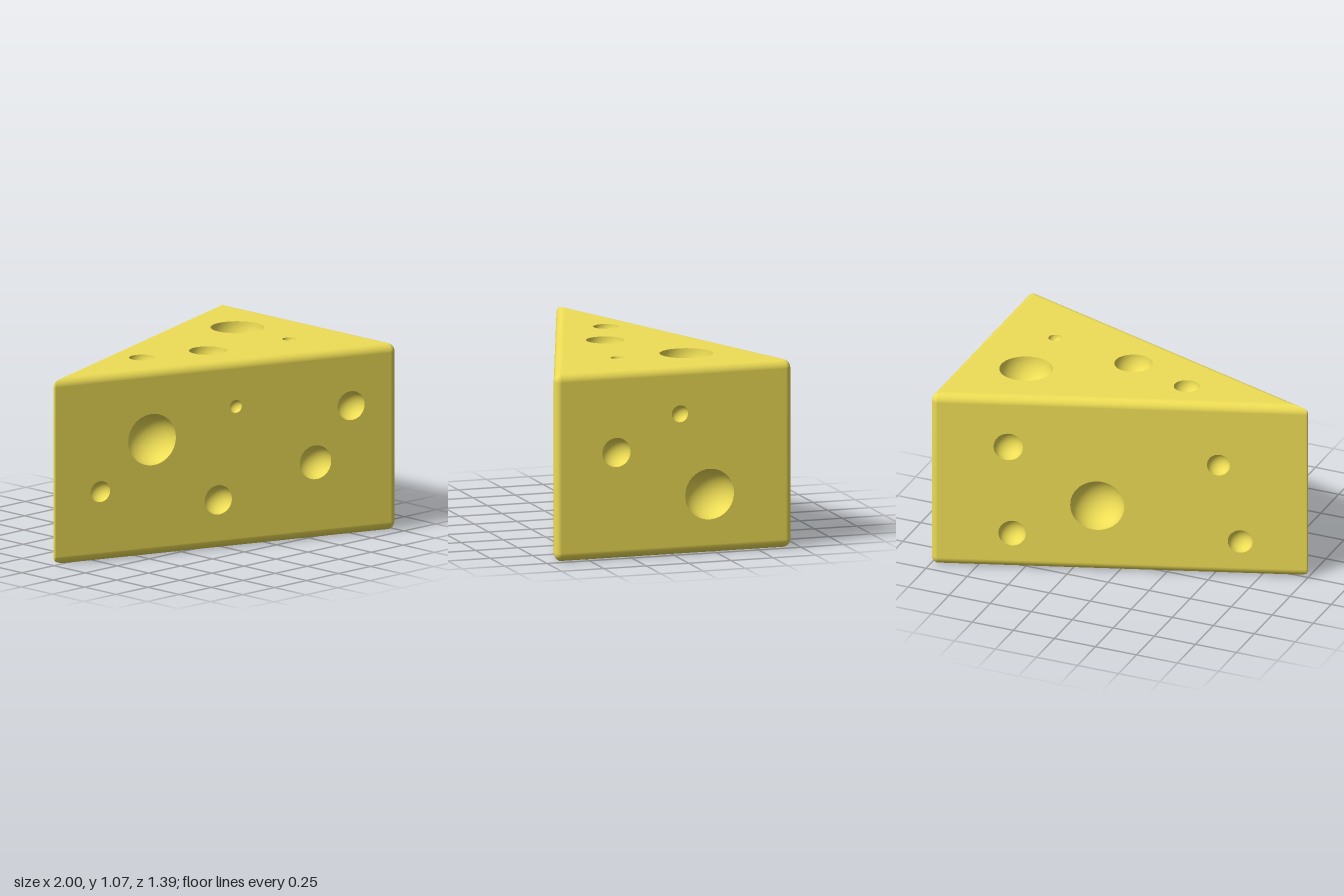
import * as THREE from 'three';

const H = 1.07;                       // height of the wedge
const BEVEL = 0.05;                   // rounding along top and bottom edges
const TIP_X = -1.02;                  // where the slanted sides would meet
const SLOPE = Math.atan(0.352);       // angle of each slanted side
const STEPS = 8;                      // segments per rounded edge

const material = new THREE.MeshStandardMaterial({ color: 0xeedd55 });

// Directions of the side normals, as angles from +x towards +z
const RIGHT = 0, FRONT = Math.PI / 2 + SLOPE, BACK = 1.5 * Math.PI - SLOPE;
const halfWidth = (x) => (x - TIP_X) * Math.tan(SLOPE);

// Upright edges: sharp corner, radius, normals of the sides it joins
const corners = [
  { x: 1, z: halfWidth(1), r: 0.035, from: RIGHT, to: FRONT },
  { x: TIP_X, z: 0, r: 0.01, from: FRONT, to: BACK },
  { x: 1, z: -halfWidth(1), r: 0.035, from: BACK, to: 2 * Math.PI },
];

// Point on a rounded corner, with the outline shrunk by inset
function cornerPoint(c, angle, inset, y) {
  const mid = (c.from + c.to) / 2;
  const shift = Math.max(c.r, inset) / Math.cos((c.to - c.from) / 2);
  const r = Math.max(c.r - inset, 0);
  return new THREE.Vector3(
    c.x - shift * Math.cos(mid) + r * Math.cos(angle), y,
    c.z - shift * Math.sin(mid) + r * Math.sin(angle));
}

// All rounded edges in one skin, leaving the flat faces open
function roundedEdges() {
  const positions = [], normals = [], indices = [];
  const rows = 2 * (STEPS + 1), columns = 3 * (STEPS + 1);
  for (let j = 0; j < rows; j++) {
    const upper = j > STEPS;
    const tilt = ((upper ? j - STEPS - 1 : j - STEPS) / STEPS) * Math.PI / 2;
    const y = (upper ? H - BEVEL : BEVEL) + BEVEL * Math.sin(tilt);
    for (const c of corners) {
      for (let i = 0; i <= STEPS; i++) {
        const angle = THREE.MathUtils.lerp(c.from, c.to, i / STEPS);
        positions.push(...cornerPoint(c, angle, BEVEL * (1 - Math.cos(tilt)), y));
        normals.push(Math.cos(tilt) * Math.cos(angle), Math.sin(tilt), Math.cos(tilt) * Math.sin(angle));
      }
    }
  }
  for (let j = 0; j < rows - 1; j++) {
    for (let i = 0; i < columns; i++) {
      if (j === STEPS && i % (STEPS + 1) === STEPS) continue; // flat side
      const a = j * columns + i, b = j * columns + (i + 1) % columns;
      indices.push(a, a + columns, b, b, a + columns, b + columns);
    }
  }
  const geometry = new THREE.BufferGeometry();
  geometry.setAttribute('position', new THREE.Float32BufferAttribute(positions, 3));
  geometry.setAttribute('normal', new THREE.Float32BufferAttribute(normals, 3));
  geometry.setIndex(indices);
  return geometry;
}

// Flat face with round openings, each backed by a half-sphere hollow
function face(name, outline, normal, up, holes) {
  const group = new THREE.Group();
  group.name = name;
  const side = new THREE.Vector3().crossVectors(up, normal);
  const flat = (p) => new THREE.Vector2(p.dot(side), p.dot(up));
  const shape = new THREE.Shape(outline.map(flat));
  for (const [x, y, z, r] of holes) {
    const centre = flat(new THREE.Vector3(x, y, z));
    shape.holes.push(new THREE.Path().absarc(centre.x, centre.y, r, 0, 2 * Math.PI, true));
    const profile = [];
    for (let i = 0; i <= 14; i++) {
      const t = (i / 14) * Math.PI / 2;
      profile.push(new THREE.Vector2(i === 14 ? 0 : r * Math.cos(t), -r * Math.sin(t)));
    }
    const hollow = new THREE.Mesh(new THREE.LatheGeometry(profile, 48).rotateX(Math.PI / 2), material);
    hollow.name = 'hole';
    hollow.position.set(centre.x, centre.y, 0);
    group.add(hollow);
  }
  const panel = new THREE.Mesh(new THREE.ShapeGeometry(shape, 24), material);
  panel.name = name + 'Surface';
  group.add(panel);
  group.quaternion.setFromRotationMatrix(new THREE.Matrix4().makeBasis(side, up, normal));
  group.position.copy(normal).multiplyScalar(normal.dot(outline[0]));
  return group;
}

export function createModel() {
  const model = new THREE.Group();
  model.name = 'cheeseWedge';

  const edges = new THREE.Mesh(roundedEdges(), material);
  edges.name = 'roundedEdges';
  model.add(edges);

  // Upright faces, each spanning from one corner to the next
  const Y = new THREE.Vector3(0, 1, 0);
  const onSlant = (sign) => ([x, y, r]) => [x, y, sign * halfWidth(x), r];
  const sides = [
    ['frontFace', 0, FRONT, [
      [-0.435, 0.665, 0.147], [-0.735, 0.398, 0.06], [-0.05, 0.28, 0.084],
      [0.052, 0.805, 0.037], [0.515, 0.437, 0.097], [0.722, 0.74, 0.083],
    ].map(onSlant(1))],
    ['backFace', 1, BACK, [
      [0.58, 0.76, 0.083], [0.56, 0.22, 0.077], [0.11, 0.41, 0.152],
      [-0.53, 0.69, 0.065], [-0.645, 0.215, 0.07],
    ].map(onSlant(-1))],
    ['rightFace', 2, RIGHT, [
      [1, 0.605, 0.34, 0.083], [1, 0.802, -0.035, 0.048], [1, 0.335, -0.21, 0.144],
    ]],
  ];
  for (const [name, i, angle, holes] of sides) {
    const a = corners[i], b = corners[(i + 1) % 3];
    const outline = [
      cornerPoint(a, a.to, 0, BEVEL), cornerPoint(b, b.from, 0, BEVEL),
      cornerPoint(b, b.from, 0, H - BEVEL), cornerPoint(a, a.to, 0, H - BEVEL),
    ];
    const normal = new THREE.Vector3(Math.cos(angle), 0, Math.sin(angle));
    model.add(face(name, outline, normal, Y, holes));
  }

  // Top and bottom triangles
  const triangle = (y) => corners.map((c) => cornerPoint(c, c.from, BEVEL, y));
  model.add(face('topFace', triangle(H), Y, new THREE.Vector3(0, 0, -1), [
    [0.63, H, -0.2, 0.15], [0.107, H, 0.1, 0.107], [-0.277, H, -0.037, 0.072], [0.632, H, 0.21, 0.038],
  ]));
  model.add(face('bottomFace', triangle(0), new THREE.Vector3(0, -1, 0), new THREE.Vector3(0, 0, 1), []));

  return model;
}
